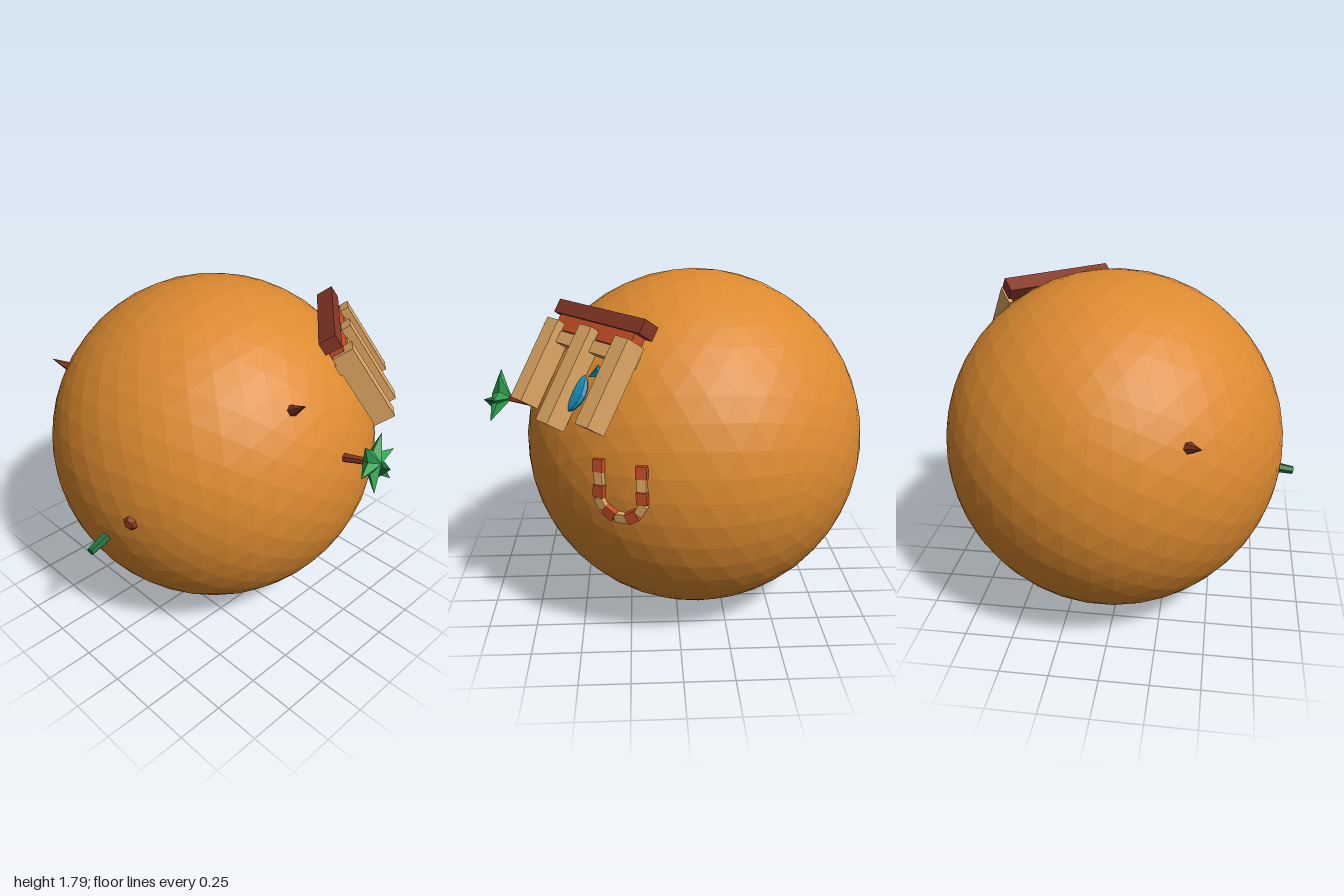
import * as THREE from 'three';

const C = new THREE.Vector3(0.04, 0.9, -0.105); // planet centre
const R = 0.895;
const V = (x, y, z) => new THREE.Vector3(x, y, z);

const material = (name, color, extra = {}) => {
  const m = new THREE.MeshStandardMaterial({ color, flatShading: true, ...extra });
  m.name = name;
  return m;
};

export function createModel() {
  const mats = {
    ground: material('orange ground', 0xdc8a30),
    tan: material('tan stone', 0xdfa764),
    roof: material('dark red roof', 0x843626),
    red: material('brick red', 0xc64e26),
    rock: material('rock brown', 0x8c3a24),
    green: material('leaf green', 0x2fa352, { side: THREE.DoubleSide }),
    cactus: material('dark green', 0x1f6d3c),
    blue: material('blue', 0x0f88b2),
  };
  const model = new THREE.Group();

  const add = (parent, name, geometry, mat) => {
    const mesh = new THREE.Mesh(geometry, mat);
    mesh.name = name;
    parent.add(mesh);
    return mesh;
  };
  // stand an object on the planet, its +y pointing away from the centre
  const plant = (object, direction, radius) => {
    const d = direction.clone().normalize();
    object.position.copy(C).addScaledVector(d, radius);
    object.quaternion.setFromUnitVectors(V(0, 1, 0), d);
    return object;
  };
  const orient = (object, x, y, z) =>
    object.quaternion.setFromRotationMatrix(new THREE.Matrix4().makeBasis(x, y, z));

  // planet
  add(model, 'planet', new THREE.IcosahedronGeometry(R, 7), mats.ground).position.copy(C);

  // shrine lying on the slope: x along the roof, y up the slope, z outwards
  const shrine = new THREE.Group();
  shrine.name = 'shrine';
  shrine.position.copy(C);
  const along = V(0.76, 0, -0.65).normalize();
  const out = V(0.539, 0.559, 0.63).normalize();
  const up = out.clone().cross(along).normalize();
  orient(shrine, along, up, along.clone().cross(up));
  model.add(shrine);

  const block = (name, w, h, d, x, y, z, mat) =>
    add(shrine, name, new THREE.BoxGeometry(w, h, d), mat).position.set(x, y, z);
  block('roofBeam', 0.64, 0.07, 0.09, -0.007, 0.272, 0.898, mats.roof);
  block('upperBeam', 0.56, 0.08, 0.07, -0.007, 0.2, 0.895, mats.red);
  block('lowerBeam', 0.6, 0.06, 0.08, -0.007, 0.125, 0.895, mats.tan);
  for (const x of [-0.267, 0.253])
    block('sideColumn', 0.09, 0.43, 0.11, x, -0.02, 0.921, mats.tan);
  block('middleColumn', 0.09, 0.49, 0.11, -0.007, -0.043, 0.926, mats.tan);

  // round blue body with a small tail behind the middle column
  const body = add(shrine, 'blueBody', new THREE.SphereGeometry(0.1, 12, 8), mats.blue);
  body.scale.z = 0.3;
  body.position.set(0, -0.1, 0.895);
  const tail = add(shrine, 'blueTail', new THREE.ConeGeometry(0.035, 0.07, 4), mats.blue);
  tail.scale.z = 0.5;
  tail.rotation.z = 2.3;
  tail.position.set(0.1, 0.01, 0.905);

  // striped horseshoe band hugging the surface
  const onSurface = (y, z) => {
    const dx = Math.sqrt(R * R - (y - C.y) ** 2 - (z - C.z) ** 2);
    return V(C.x + dx, y, z);
  };
  const path = new THREE.CatmullRomCurve3(
    [[1.07, 0.37], [0.96, 0.37], [0.87, 0.367], [0.825, 0.325], [0.81, 0.275],
      [0.825, 0.225], [0.87, 0.183], [0.96, 0.18], [1.07, 0.18]].map(([y, z]) => onSurface(y, z)));
  const count = 11;
  const length = path.getLength() / count;
  const band = new THREE.Group();
  band.name = 'stripedBand';
  model.add(band);
  for (let i = 0; i < count; i++) {
    const t = (i + 0.5) / count;
    const odd = i % 2 === 1;
    const piece = add(band, 'bandPiece',
      new THREE.BoxGeometry(odd ? 0.044 : 0.052, length, odd ? 0.044 : 0.052),
      odd ? mats.tan : mats.red);
    piece.position.copy(path.getPointAt(t));
    const y = path.getTangentAt(t);
    const normal = piece.position.clone().sub(C).normalize();
    const x = y.clone().cross(normal).normalize();
    orient(piece, x, y, x.clone().cross(y));
  }

  // palm: trunk and a six-pointed crown
  const palm = new THREE.Group();
  palm.name = 'palm';
  model.add(palm);
  plant(palm, V(0.075, 0.262, 1.03), R);
  add(palm, 'trunk', new THREE.CylinderGeometry(0.018, 0.026, 0.2, 6), mats.rock).position.y = 0.05;

  const crown = [];
  const ring = (k) => {
    const a = (k * Math.PI) / 6 - 0.17;
    const r = k % 2 ? 0.065 : 0.148;
    return [r * Math.cos(a), k % 2 ? 0.17 : 0.185, r * Math.sin(a)];
  };
  for (let k = 0; k < 12; k++) {
    crown.push(0, 0.1, 0, ...ring(k), ...ring(k + 1)); // underside
    crown.push(0, 0.205, 0, ...ring(k + 1), ...ring(k)); // outer side
  }
  const crownGeometry = new THREE.BufferGeometry();
  crownGeometry.setAttribute('position', new THREE.Float32BufferAttribute(crown, 3));
  crownGeometry.computeVertexNormals();
  add(palm, 'palmCrown', crownGeometry, mats.green);
  const bud = add(palm, 'palmBud', new THREE.ConeGeometry(0.05, 0.07, 3), mats.cactus);
  bud.position.set(0.02, 0.205, 0.03);

  // cactus stub
  plant(add(model, 'cactus', new THREE.CylinderGeometry(0.022, 0.032, 0.16, 6), mats.cactus),
    V(-0.97, -0.21, 0.13), 0.925);

  // rock spikes
  for (const d of [V(-0.17, 0.51, 0.705), V(-0.483, 0.35, -0.8)])
    plant(add(model, 'rockSpike', new THREE.ConeGeometry(0.036, 0.15, 6), mats.rock), d, 0.94);

  // low rocks, nearly buried
  for (const d of [V(-0.84, -0.01, 0.3), V(-0.07, -0.83, 0.335)])
    plant(add(model, 'buriedRock', new THREE.CylinderGeometry(0.025, 0.05, 0.03, 6), mats.rock), d, 0.895);

  return model;
}
